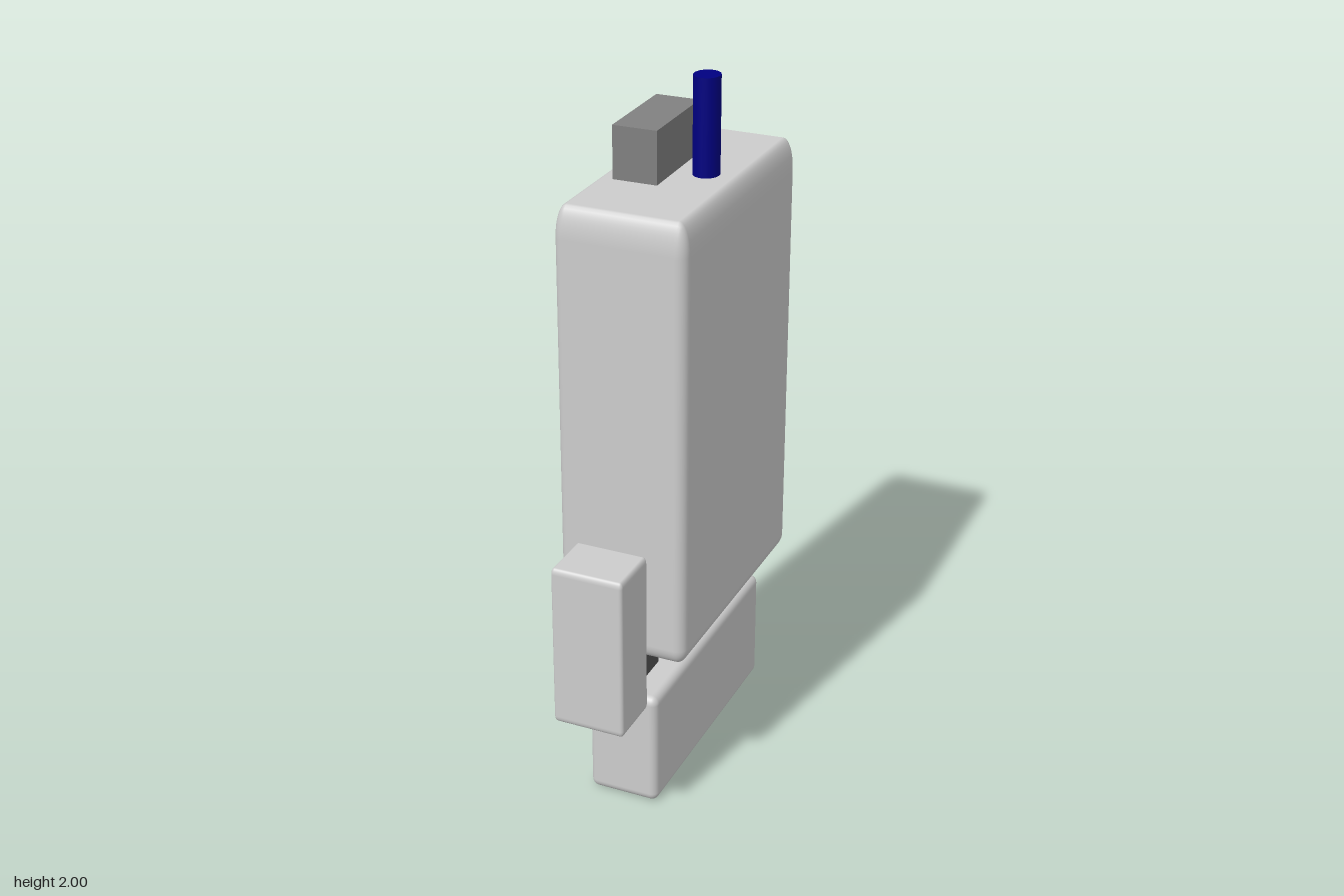
import * as THREE from 'three';
import { RoundedBoxGeometry } from 'three/addons/geometries/RoundedBoxGeometry.js';

const material = (name, color) => {
  const m = new THREE.MeshStandardMaterial({ color });
  m.name = name;
  return m;
};

// Box with rounded edges whose top and bottom rounding may be stretched in height.
function softBox(w, h, d, r, rTop, rBottom) {
  const g = new RoundedBoxGeometry(w, h, d, 4, r);
  const p = g.attributes.position, n = g.attributes.normal, v = new THREE.Vector3();
  const flat = h / 2 - r;
  for (let i = 0; i < p.count; i++) {
    const y = p.getY(i);
    if (Math.abs(y) <= flat - 1e-5) continue;
    const t = (Math.abs(y) - flat) / r;
    const ry = y > 0 ? rTop : rBottom;
    p.setY(i, Math.sign(y) * (h / 2 - ry * (1 - t)));
    v.fromBufferAttribute(n, i);
    v.y *= r / ry;
    v.normalize();
    n.setXYZ(i, v.x, v.y, v.z);
  }
  return g;
}

export function createModel() {
  const model = new THREE.Group();
  model.name = 'mechanicalHand';
  const shell = material('lightGrey', 0xcccccc);
  const bracket = material('midGrey', 0x808080);
  const joint = material('darkGrey', 0x525252);
  const navy = material('navy', 0x000080);

  const add = (name, geometry, mat, x, y, z) => {
    const mesh = new THREE.Mesh(geometry, mat);
    mesh.name = name;
    mesh.position.set(x, y, z);
    model.add(mesh);
    return mesh;
  };

  // Main shells
  add('palm', softBox(0.366, 1.265, 0.754, 0.03, 0.09, 0.045), shell, 0, 1.1025, -0.105);
  add('fingerBlock', softBox(0.204, 0.342, 0.754, 0.022, 0.025, 0.025), shell, 0, 0.173, -0.105);
  add('thumb', softBox(0.204, 0.472, 0.16, 0.01, 0.018, 0.018), shell, 0, 0.59, 0.405);

  // Knuckles joining the palm to the finger block
  for (const z of [0.132, -0.019, -0.186, -0.345]) {
    add('knuckle', new THREE.BoxGeometry(0.086, 0.19, 0.088), joint, -0.017, 0.41, z);
  }
  add('thumbJoint', new THREE.BoxGeometry(0.086, 0.088, 0.1), joint, -0.017, 0.683, 0.297);

  // Wrist fittings
  const mount = add('wristBracket', new THREE.BoxGeometry(0.124, 0.2, 0.281), bracket, -0.064, 1.78, -0.105);
  mount.rotation.y = 0.012;
  const rod = add('wristRod', new THREE.CylinderGeometry(0.036, 0.036, 0.34, 20), navy, 0.079, 1.83, -0.1);
  rod.scale.z = 1.08;

  return model;
}
